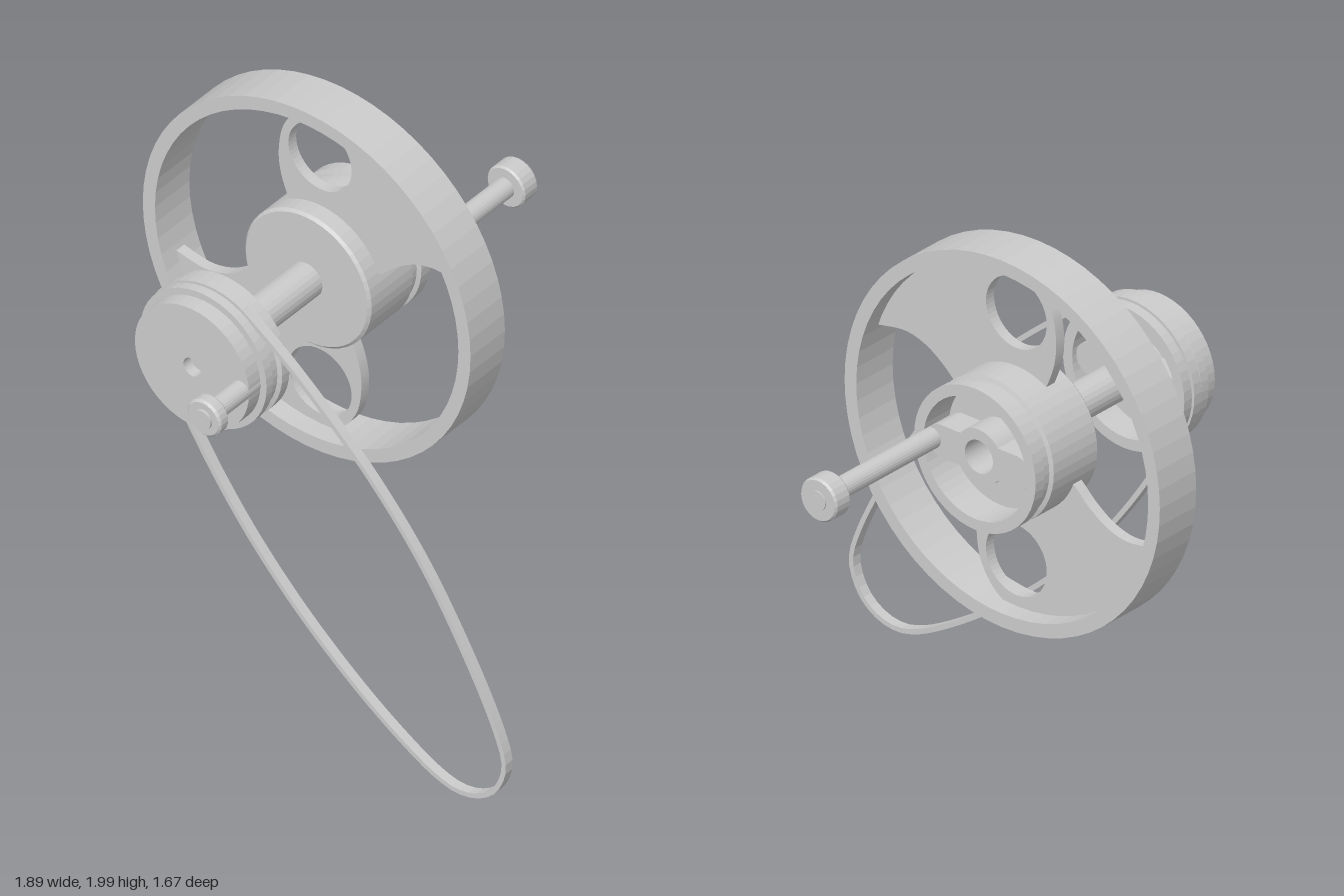
import * as THREE from 'three';

const material = new THREE.MeshStandardMaterial({ color: 0xcccccc, flatShading: true, side: THREE.DoubleSide });
const CX = -0.275, CY = 1.325, PIN = 0.2;
const V = (x, y) => new THREE.Vector2(x, y);

export function createModel() {
  const model = new THREE.Group();
  const axis = new THREE.Group();
  axis.name = 'axleAssembly';
  axis.position.set(CX, CY, 0);
  model.add(axis);

  const add = (name, geometry, parent = axis) => {
    const mesh = new THREE.Mesh(geometry, material);
    mesh.name = name;
    parent.add(mesh);
    return mesh;
  };
  // Turned part about z; profile is [radius, z], bottom to top on the outside
  const turned = (name, profile, segments = 48) =>
    add(name, new THREE.LatheGeometry(profile.map(p => V(...p)), segments).rotateX(Math.PI / 2));
  const extruded = (name, shape, z, depth, parent) =>
    add(name, new THREE.ExtrudeGeometry(shape, { depth, bevelEnabled: false, curveSegments: 24 }).translate(0, 0, z), parent);
  const circle = (x, y, r) => new THREE.Path().absarc(x, y, r, 0, Math.PI * 2, true);

  // Flywheel rim
  turned('flywheelRim', [[0.625, -0.15], [0.675, -0.15], [0.675, 0.03], [0.625, 0.03], [0.625, -0.15]], 64);

  // Two curved web plates, half a turn apart, each with a round hole
  for (const [name, turn] of [['upperWeb', 0], ['lowerWeb', Math.PI]]) {
    const s = new THREE.Shape();
    s.moveTo(0, 0);
    s.lineTo(0.2, 0.06);
    s.splineThru([V(0.25, 0.095), V(0.31, 0.15), V(0.39, 0.2), V(0.48, 0.22), V(0.596, 0.2)]);
    s.absarc(0, 0, 0.635, 0.324, 1.63, false);
    s.splineThru([V(-0.1, 0.59), V(-0.152, 0.51), V(-0.17, 0.41), V(-0.162, 0.32), V(-0.13, 0.23), V(-0.1, 0.18)]);
    s.closePath();
    s.holes.push(circle(0, 0.455, 0.13));
    extruded(name, s, -0.08, 0.04).rotation.z = turn;
  }

  // Flywheel hub with a grooved pulley and a hollow back
  turned('hubPulley', [
    [0, -0.16], [0.22, -0.16], [0.22, -0.285], [0.26, -0.285], [0.26, -0.24], [0.245, -0.235],
    [0.245, -0.2], [0.26, -0.195], [0.26, 0.02], [0.25, 0.03], [0, 0.03],
  ]);

  // Front pulley, stepped face and centre dimple
  turned('frontPulley', [
    [0, 0.55], [0.22, 0.55], [0.22, 0.45], [0.26, 0.45], [0.26, 0.488], [0.245, 0.494],
    [0.245, 0.53], [0.26, 0.536], [0.26, 0.57], [0.235, 0.57], [0.235, 0.63],
    [0.035, 0.63], [0.035, 0.59], [0, 0.59],
  ]);

  // Cross arms inside both hollow pulleys
  const arm = (name, z, depth, bore) => {
    const s = new THREE.Shape();
    s.absarc(PIN - 0.04, 0, 0.06, -Math.PI / 2, Math.PI / 2, false);
    s.lineTo(0.08, 0.06);
    s.absarc(0, 0, 0.1, 0.64, Math.PI - 0.64, false);
    s.absarc(-PIN + 0.04, 0, 0.06, Math.PI / 2, Math.PI * 1.5, false);
    s.absarc(0, 0, 0.1, Math.PI + 0.64, Math.PI * 2 - 0.64, false);
    s.closePath();
    s.holes.push(circle(0, 0, bore));
    extruded(name, s, z, depth);
  };
  arm('hubCrossArm', -0.265, 0.11, 0.06);
  arm('frontCrossArm', 0.47, 0.085, 0.06);

  // Axle
  turned('axle', [[0, 0.02], [0.065, 0.02], [0.065, 0.56], [0, 0.56]], 24);

  // Crank pins with headed ends
  turned('frontCrankPin', [
    [0, 0.55], [0.037, 0.55], [0.037, 0.775], [0.062, 0.775], [0.07, 0.783],
    [0.07, 0.817], [0.062, 0.825], [0.037, 0.825], [0.037, 0.835], [0, 0.835],
  ], 24).position.x = PIN;
  turned('rearCrankPin', [
    [0, -0.835], [0.035, -0.835], [0.035, -0.83], [0.072, -0.83], [0.078, -0.822],
    [0.078, -0.762], [0.072, -0.755], [0.037, -0.755], [0.037, -0.16], [0, -0.16],
  ], 24).position.x = PIN;

  // Drive belt: slack loop wrapped round the front pulley
  const path = [
    [0, 1.445], [0.19, 1.29], [0.4, 1.09], [0.6, 0.85], [0.8, 0.525], [0.9, 0.32], [0.93, 0.22],
    [0.922, 0.155], [0.88, 0.08], [0.81, 0.033], [0.73, 0.02], [0.65, 0.04], [0.55, 0.09],
    [0.35, 0.22], [0.1, 0.425], [-0.1, 0.63], [-0.25, 0.82], [-0.37, 1.0],
  ].map(([x, y]) => new THREE.Vector3(x, y, 0));
  for (let i = 0; i <= 10; i++) {
    const a = THREE.MathUtils.degToRad(222 - i * 17.2);
    path.push(new THREE.Vector3(CX + 0.256 * Math.cos(a), CY + 0.256 * Math.sin(a), 0));
  }
  const loop = new THREE.CatmullRomCurve3(path, true, 'centripetal');
  const offset = d => Array.from({ length: 120 }, (_, i) => {
    const p = loop.getPointAt(i / 120), t = loop.getTangentAt(i / 120);
    return V(p.x - t.y * d, p.y + t.x * d);
  });
  const beltShape = new THREE.Shape(offset(0.009));
  beltShape.holes.push(new THREE.Path(offset(-0.009)));
  extruded('driveBelt', beltShape, 0.494, 0.036, model);

  return model;
}
